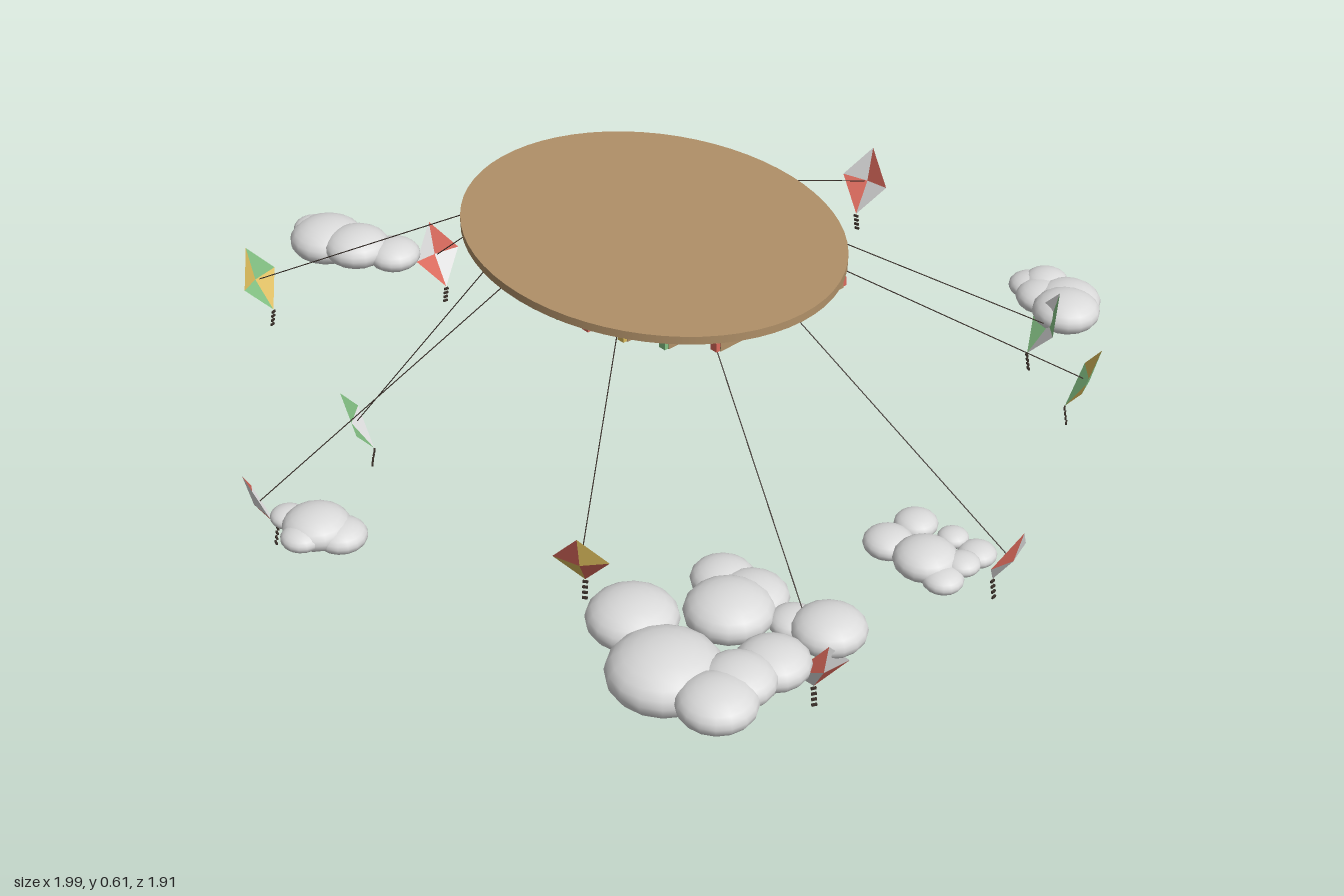
import * as THREE from 'three';

const mat = (name, color, side = THREE.FrontSide) => {
  const m = new THREE.MeshStandardMaterial({ color, side });
  m.name = name;
  return m;
};

export function createModel() {
  const wood = mat('tan wood', 0xb09068);
  const cloudWhite = mat('cloud white', 0xdadada);
  const thread = mat('dark thread', 0x3a302a);
  const D = THREE.DoubleSide;
  const paint = {
    r: mat('coral red', 0xdc6a5c, D), g: mat('leaf green', 0x86c486, D),
    y: mat('soft yellow', 0xdcbc5c, D), w: mat('paper white', 0xdedede, D),
  };
  const root = new THREE.Group();
  root.name = 'kiteMobile';
  const add = (parent, name, geo, material, x = 0, y = 0, z = 0) => {
    const m = new THREE.Mesh(geo, material);
    m.name = name;
    m.position.set(x, y, z);
    parent.add(m);
    return m;
  };
  const CX = 0.03, CZ = 0.013;

  // Oval ceiling plate
  add(root, 'ceilingPlate', new THREE.CylinderGeometry(1, 1, 0.018, 64), wood, CX, 0.601, CZ)
    .scale.set(0.44, 1, 0.365);

  // Crossed beams stacked in shrinking layers, with coloured end caps
  const lattice = new THREE.Group();
  lattice.name = 'beamLattice';
  lattice.position.set(CX, 0, CZ);
  root.add(lattice);
  const capColors = [paint.r, paint.g, paint.r, paint.y, paint.g];
  const roundCap = new THREE.CylinderGeometry(0.014, 0.014, 0.012, 10).rotateZ(Math.PI / 2);
  const squareCap = new THREE.BoxGeometry(0.017, 0.02, 0.012);
  const layers = [
    { axis: 'z', y: 0.582, count: 11, gap: 0.075, half: 0.33, reach: 0.44 },
    { axis: 'x', y: 0.56, count: 11, gap: 0.05, half: 0.33, reach: 0.31 },
    { axis: 'z', y: 0.538, count: 7, gap: 0.075, half: 0.195, reach: 0.3 },
    { axis: 'x', y: 0.515, count: 5, gap: 0.05, half: 0.15, reach: 0.16 },
  ];
  for (const { axis, y, count, gap, half, reach } of layers) {
    for (let i = 0; i < count; i++) {
      const u = (i - (count - 1) / 2) * gap;
      const h = half * Math.sqrt(1 - (u / reach) ** 2);
      const alongX = axis === 'x';
      const size = alongX ? [2 * h, 0.023, 0.02] : [0.02, 0.023, 2 * h];
      add(lattice, 'beam', new THREE.BoxGeometry(...size), wood, alongX ? 0 : u, y, alongX ? u : 0);
      for (const s of [-1, 1]) {
        const e = s * (h + 0.004);
        add(lattice, 'beamCap', alongX ? roundCap : squareCap, capColors[i % 5],
          alongX ? e : u, y, alongX ? u : e);
      }
    }
  }
  add(lattice, 'bossUpper', new THREE.BoxGeometry(0.09, 0.03, 0.06), wood, 0, 0.49, 0);
  add(lattice, 'bossLower', new THREE.BoxGeometry(0.045, 0.03, 0.024), wood, 0, 0.461, 0);

  // Diamond kite: four gently bowed panels, alternating two colours
  const H = 0.08, W = 0.058, TILT = 0.42;
  const kiteGeometry = () => {
    const rim = [[0, H, 0], [-W, 0, 0], [0, -H, 0], [W, 0, 0]];
    const pts = [];
    const g = new THREE.BufferGeometry();
    rim.forEach((p, i) => {
      pts.push(0, 0, 0.014, ...p, ...rim[(i + 1) % 4]);
      g.addGroup(i * 3, 3, i % 2);
    });
    g.setAttribute('position', new THREE.Float32BufferAttribute(pts, 3));
    g.computeVertexNormals();
    return g;
  };
  const kiteGeo = kiteGeometry();
  const bowGeo = new THREE.BoxGeometry(0.011, 0.005, 0.004);

  // x, y, z, colour pair
  const kites = [
    [-0.165, 0.30, -0.84, 'rw'], [0.455, 0.235, -0.765, 'gw'], [0.75, 0.34, -0.54, 'gy'],
    [-0.605, 0.21, -0.56, 'ry'], [-0.82, 0.118, -0.085, 'rw'], [-0.96, 0.16, 0.325, 'gy'],
    [-0.375, 0.147, 0.50, 'gw'], [-0.255, 0.172, 0.845, 'rw'], [0.40, 0.235, 0.545, 'ry'],
    [0.965, 0.24, -0.075, 'rw'], [0.92, 0.20, 0.40, 'rw'],
  ];
  for (const [x, y, z, pair] of kites) {
    const kite = new THREE.Group();
    kite.name = 'kite';
    kite.position.set(x, y, z);
    kite.rotation.y = Math.atan2(x - CX, z - CZ);
    root.add(kite);
    add(kite, 'kitePanels', kiteGeo, [paint[pair[0]], paint[pair[1]]]).rotation.x = TILT;
    // Tail of small bows
    for (let i = 0; i < 4; i++) {
      add(kite, 'tailBow', bowGeo, thread, 0,
        -H * Math.cos(TILT) - 0.006 - i * 0.012, -H * Math.sin(TILT) + 0.002 * i);
    }
    // String up to the plate
    const a = Math.atan2(z - CZ, x - CX);
    const r = 0.75 / Math.hypot(Math.cos(a) / 0.44, Math.sin(a) / 0.365);
    const top = new THREE.Vector3(CX + r * Math.cos(a), 0.592, CZ + r * Math.sin(a));
    const end = new THREE.Vector3(x, y, z);
    add(root, 'string', new THREE.TubeGeometry(new THREE.LineCurve3(top, end), 1, 0.0012, 5), thread);
  }

  // Clouds: clusters of flattened puffs given as [x, z, radius]
  const puffGeo = new THREE.SphereGeometry(1, 16, 12);
  const clouds = [
    { y: 0.23, puffs: [[0.32, -0.875, 0.048], [0.345, -0.9, 0.05], [0.42, -0.885, 0.075],
      [0.455, -0.84, 0.075], [0.37, -0.86, 0.06]] },
    { y: 0.235, puffs: [[0.76, -0.03, 0.045], [0.85, -0.04, 0.032], [0.91, -0.045, 0.04],
      [0.92, 0.01, 0.037], [0.765, 0.055, 0.052], [0.86, 0.05, 0.066], [0.92, 0.065, 0.042]] },
    { y: 0.262, puffs: [[-0.71, 0.125, 0.06], [-0.78, 0.175, 0.075], [-0.865, 0.195, 0.085],
      [-0.91, 0.2, 0.045]] },
    { y: 0.238, puffs: [[0.015, 0.84, 0.054], [-0.03, 0.865, 0.07], [-0.105, 0.88, 0.037],
      [-0.02, 0.91, 0.043]] },
    { y: 0.24, puffs: [[0.63, 0.38, 0.065], [0.89, 0.35, 0.075], [0.71, 0.38, 0.075],
      [0.72, 0.45, 0.09], [0.88, 0.49, 0.075], [0.61, 0.6, 0.092], [0.76, 0.655, 0.115],
      [0.90, 0.655, 0.08], [0.82, 0.375, 0.05], [0.88, 0.58, 0.075]] },
  ];
  for (const { y, puffs } of clouds) {
    const cloud = new THREE.Group();
    cloud.name = 'cloud';
    root.add(cloud);
    puffs.forEach(([x, z, r], i) => {
      add(cloud, 'puff', puffGeo, cloudWhite, x, y + (i % 2 ? 0.006 : -0.004), z)
        .scale.set(r, r * 0.55, r);
    });
  }
  return root;
}
